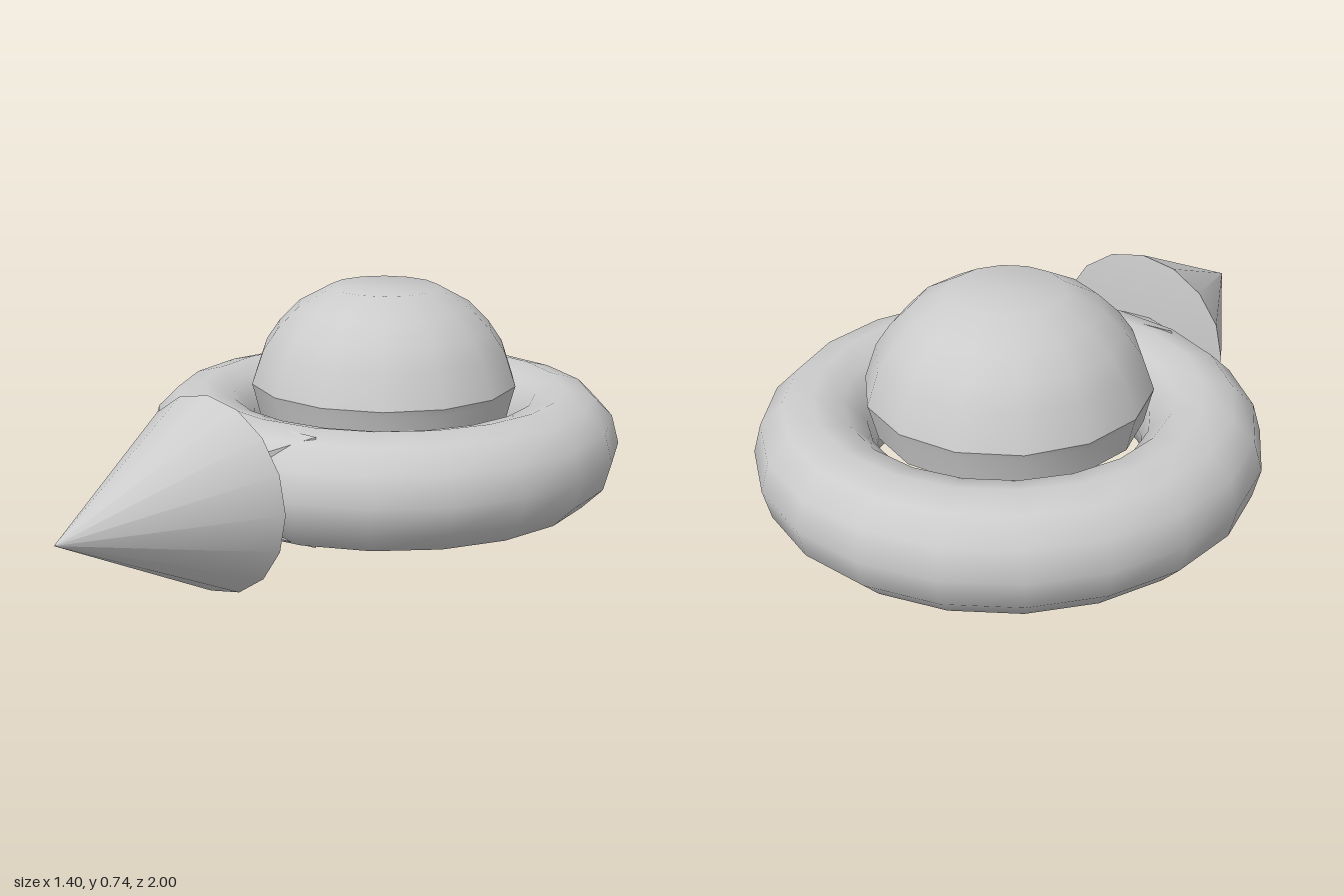
import * as THREE from 'three';
import { toCreasedNormals } from 'three/addons/utils/BufferGeometryUtils.js';

const RING_Z = -0.3, MID_Y = 0.277;

export function createModel() {
  const group = new THREE.Group();
  const material = new THREE.MeshStandardMaterial({ color: 0xcccccc });
  const add = (name, geometry, y, z) => {
    const mesh = new THREE.Mesh(geometry, material);
    mesh.name = name;
    mesh.position.set(0, y, z);
    group.add(mesh);
  };
  const lathe = (points, sides) => new THREE.LatheGeometry(
    points.map(([r, h]) => new THREE.Vector2(r, h)), sides);

  // Thick ring forming the saucer body
  add('ringBody', new THREE.TorusGeometry(0.534, 0.167, 12, 20).rotateX(-Math.PI / 2), MID_Y, RING_Z);

  // Shallow floor closing the ring from below
  add('underside', new THREE.CircleGeometry(0.42, 20).rotateX(Math.PI / 2), 0.165, RING_Z);

  // Dome with a flat top and a slightly undercut rim
  const dome = lathe([[0, 0.36], [0.37, 0.36], [0.39, 0.44], [0.396, 0.46], [0.362, 0.56],
    [0.32, 0.622], [0.258, 0.685], [0.16, 0.739], [0, 0.739]], 14).rotateY(Math.PI / 2);
  add('dome', toCreasedNormals(dome, 0.6), 0, RING_Z);

  // Tapered neck between the ring and the nose: a four-sided frustum
  const neck = new THREE.BoxGeometry(2, 2, 0.17);
  const p = neck.attributes.position;
  for (let i = 0; i < p.count; i++) {
    const front = p.getZ(i) > 0;
    p.setXY(i, p.getX(i) * (front ? 0.045 : 0.21), p.getY(i) * (front ? 0.088 : 0.158));
  }
  neck.computeVertexNormals();
  add('neck', neck, MID_Y, 0.335);

  // Pointed nose with a shallow conical back
  const nose = lathe([[0, 0.41], [0.277, 0.447], [0, 1]], 16).rotateX(Math.PI / 2);
  add('noseCone', toCreasedNormals(nose, 0.6), MID_Y, 0);

  return group;
}
